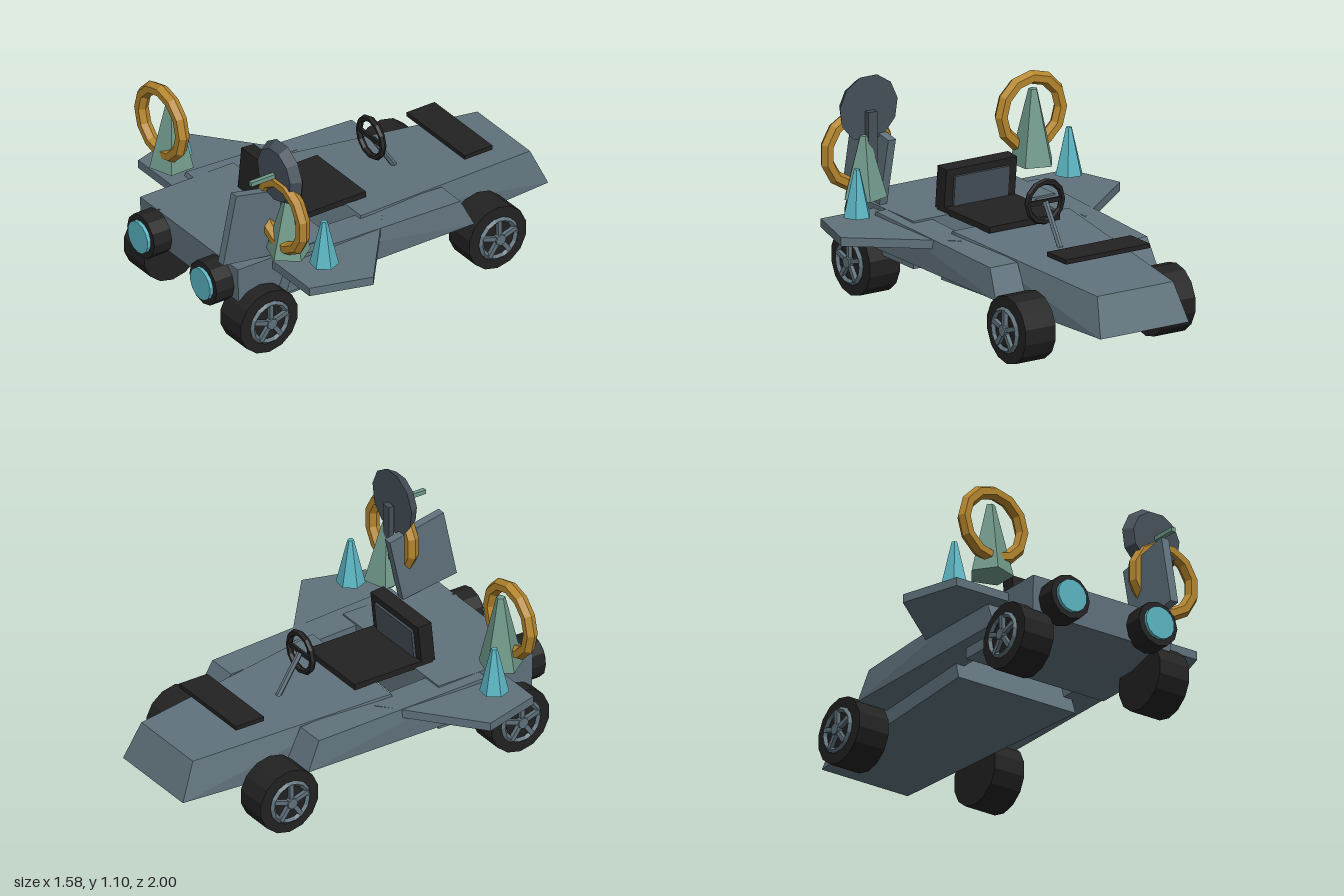
import * as THREE from 'three';
import { ConvexGeometry } from 'three/addons/geometries/ConvexGeometry.js';

const mat = (name, color) => {
  const m = new THREE.MeshStandardMaterial({ color, flatShading: true });
  m.name = name;
  return m;
};

export function createModel() {
  const slate = mat('slate', 0x60727c);
  const darkSlate = mat('darkSlate', 0x454f59);
  const black = mat('black', 0x222222);
  const gold = mat('gold', 0xb5862d);
  const green = mat('sage', 0x70998a);
  const cyan = mat('cyan', 0x5bb5c3);
  const model = new THREE.Group();

  function add(name, geo, material, pos = [0, 0, 0], rot = [0, 0, 0], parent = model) {
    const m = new THREE.Mesh(geo, material);
    m.name = name;
    m.position.set(...pos);
    m.rotation.set(...rot);
    parent.add(m);
    return m;
  }
  const box = (w, h, d) => new THREE.BoxGeometry(w, h, d);
  const hull = (pts) => new ConvexGeometry(pts.map((p) => new THREE.Vector3(...p)));
  // points given for +x, repeated on -x
  const mirrored = (pts) => hull(pts.flatMap(([x, y, z]) => [[x, y, z], [-x, y, z]]));

  // Long tapering nose
  add('nose', mirrored([
    [0.25, 0.195, -1], [0.215, 0.38, -0.92],
    [0.34, 0.195, 0.21], [0.33, 0.452, 0.13],
  ]), slate);

  // Engine block behind the seat
  add('engineBlock', mirrored([
    [0.4, 0.455, 0.35], [0.4, 0.455, 0.885], [0.4, 0.27, 0.88],
    [0.4, 0.22, 0.7], [0.4, 0.22, 0.35],
  ]), slate);

  // Bonnet plate
  add('bonnetPlate', box(0.475, 0.022, 0.16), black, [0, 0.492, -0.61]);

  // Seat
  add('seatBase', box(0.4, 0.03, 0.44), black, [0, 0.463, 0.23]);
  const back = new THREE.Group();
  back.name = 'seatBack';
  back.position.set(0, 0.46, 0.428);
  back.rotation.x = -0.1;
  model.add(back);
  add('backrest', box(0.4, 0.21, 0.075), black, [0, 0.105, 0], [0, 0, 0], back);
  add('backCushion', box(0.31, 0.15, 0.016), darkSlate, [0, 0.1, -0.042], [0, 0, 0], back);

  // Steering wheel and column
  add('steeringWheel', new THREE.TorusGeometry(0.098, 0.016, 6, 12), black, [0, 0.615, -0.16]);
  add('steeringSpoke', box(0.18, 0.022, 0.014), black, [0, 0.615, -0.16]);
  const column = new THREE.LineCurve3(new THREE.Vector3(0, 0.42, -0.29), new THREE.Vector3(0, 0.615, -0.165));
  add('steeringColumn', new THREE.TubeGeometry(column, 1, 0.015, 6), slate);

  // Wheel with a five-spoke rim on its outer side
  function wheel(s, z) {
    const w = new THREE.Group();
    w.name = 'wheel';
    w.position.set(s * 0.395, 0.166, z);
    w.rotation.y = s * Math.PI / 2; // local +z points outwards
    model.add(w);
    add('tyre', new THREE.CylinderGeometry(0.166, 0.166, 0.17, 14), black, [0, 0, 0], [Math.PI / 2, 0, 0], w);
    add('rim', new THREE.TorusGeometry(0.1, 0.014, 4, 14), slate, [0, 0, 0.091], [0, 0, 0], w);
    add('hub', new THREE.CylinderGeometry(0.028, 0.028, 0.03, 8), slate, [0, 0, 0.098], [Math.PI / 2, 0, 0], w);
    for (let i = 0; i < 5; i++) {
      const a = Math.PI / 2 + i * Math.PI * 2 / 5;
      add('spoke', box(0.09, 0.022, 0.02), slate,
        [Math.cos(a) * 0.055, Math.sin(a) * 0.055, 0.095], [0, 0, a], w);
    }
  }

  for (const s of [1, -1]) {
    const side = (pts) => hull(pts.map(([x, y, z]) => [s * x, y, z]));

    // Side pod
    add('sidePod', side([
      [0.29, 0.455, 0.58], [0.46, 0.455, 0.58], [0.29, 0.275, 0.65], [0.46, 0.275, 0.65],
      [0.29, 0.417, -0.36], [0.445, 0.417, -0.36], [0.29, 0.275, -0.43], [0.46, 0.275, -0.43],
    ]), slate);

    // Wing
    const plan = [[0.35, 0.02], [0.46, 0.11], [0.79, 0.38], [0.7, 0.685], [0.38, 0.685]];
    add('wing', side(plan.flatMap(([x, z]) => [[x, 0.392, z], [x, 0.435, z]])), slate);

    wheel(s, 0.76);
    wheel(s, -0.55);

    // Thruster
    add('thruster', new THREE.CylinderGeometry(0.112, 0.112, 0.11, 12), black,
      [s * 0.255, 0.345, 0.927], [Math.PI / 2, 0, 0]);
    add('thrusterGlow', new THREE.CylinderGeometry(0.082, 0.082, 0.03, 14), cyan,
      [s * 0.255, 0.345, 0.985], [Math.PI / 2, 0, 0]);

    // Crystals and hoop above the wing
    const h = s > 0 ? 0.3 : 0.365;
    add('largeCrystal', new THREE.CylinderGeometry(0.022, 0.11, h, 5), green,
      [s * 0.478, 0.515 + h / 2, 0.65], [0, s * 0.3, 0]);
    add('smallCrystal', new THREE.CylinderGeometry(0.015, 0.07, 0.23, 6), cyan, [s * 0.6, 0.585, 0.53], [0, 0.4, 0]);
    add('hoop', new THREE.TorusGeometry(0.168, 0.034, 6, 12), gold,
      [s * 0.495, s > 0 ? 0.74 : 0.755, 0.693], [0, 0, s > 0 ? 0.26 : 0]);
  }

  // Upright fin beside the dish
  const fin = [[0.855, 0.885], [0.79, 0.58], [0.455, 0.655], [0.5, 0.96]];
  add('fin', hull(fin.flatMap(([y, z]) => [[0.345, y, z], [0.388, y, z]])), slate);

  // Dish on a post, with its feed rod
  add('dishPost', box(0.05, 0.44, 0.03), darkSlate, [0.445, 0.71, 0.64]);
  add('dish', new THREE.CylinderGeometry(0.135, 0.165, 0.05, 11), darkSlate,
    [0.445, 0.94, 0.685], [Math.PI / 2, 0, 0]);
  add('dishRod', box(0.022, 0.022, 0.16), green, [0.445, 0.938, 0.765]);

  return model;
}
